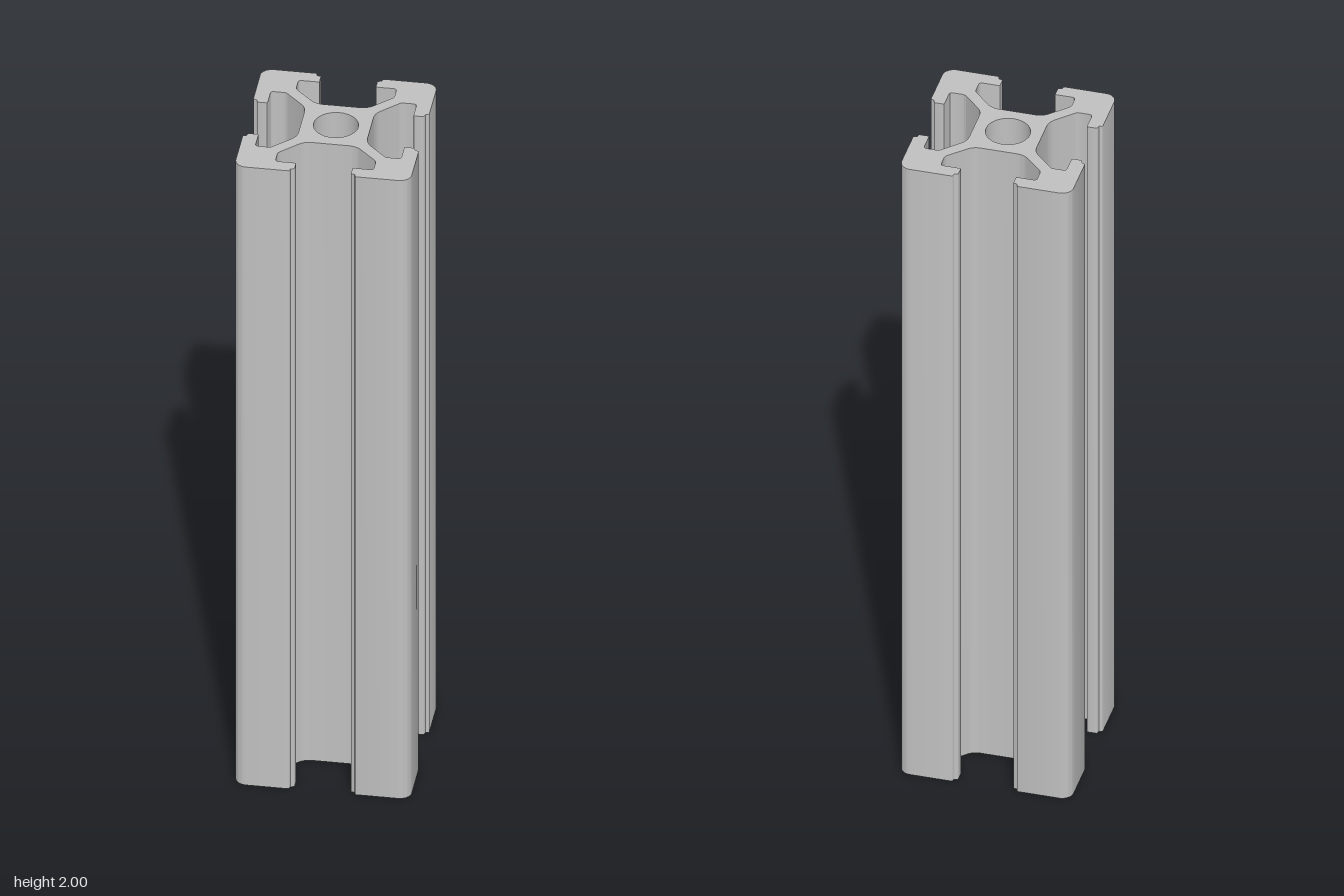
import * as THREE from 'three';
import { toCreasedNormals } from 'three/addons/utils/BufferGeometryUtils.js';

const HEIGHT = 2;
const BORE_RADIUS = 0.061;

// Half of one corner arm as [x, y, fillet radius], from the core out to the outer corner
const HALF_ARM = [
  [0.094, 0.071, 0.05],   // core to web
  [0.157, 0.134, 0.015],  // web to slot pocket
  [0.199, 0.134, 0.008],  // pocket corner
  [0.199, 0.077, 0.002],  // lip, inner edge
  [0.227, 0.077, 0.003],  // lip, outer edge
  [0.23, 0.088, 0.003],   // lip step
  [0.24, 0.09, 0.004],    // outer face
];
const OUTER_CORNER = [0.24, 0.24, 0.032];

// Closed shape through corner points, each rounded by its own radius
function roundedShape(corners) {
  const shape = new THREE.Shape();
  corners.forEach(([x, y, r], i) => {
    const n = corners.length;
    const p = new THREE.Vector2(x, y);
    const toPrev = new THREE.Vector2(...corners[(i + n - 1) % n].slice(0, 2)).sub(p).normalize();
    const toNext = new THREE.Vector2(...corners[(i + 1) % n].slice(0, 2)).sub(p).normalize();
    const turn = Math.PI - Math.acos(THREE.MathUtils.clamp(toPrev.dot(toNext), -1, 1));
    const t = r * Math.tan(turn / 2);
    const h = t - r * (4 / 3) * Math.tan(turn / 4);
    const at = (dir, d) => p.clone().addScaledVector(dir, d);
    const a = at(toPrev, t), b = at(toPrev, h), c = at(toNext, h), d = at(toNext, t);
    if (i === 0) shape.moveTo(a.x, a.y);
    else shape.lineTo(a.x, a.y);
    shape.bezierCurveTo(b.x, b.y, c.x, c.y, d.x, d.y);
  });
  shape.closePath();
  return shape;
}

export function createModel() {
  const aluminium = new THREE.MeshStandardMaterial({ color: 0xc0c0c0 });
  aluminium.name = 'aluminium';

  // Mirror the half arm over the diagonal, then repeat it in four quarter turns
  const arm = [...HALF_ARM, OUTER_CORNER, ...HALF_ARM.map(([x, y, r]) => [y, x, r]).reverse()];
  const corners = [];
  for (let q = 0; q < 4; q++) {
    const c = Math.round(Math.cos(q * Math.PI / 2));
    const s = Math.round(Math.sin(q * Math.PI / 2));
    for (const [x, y, r] of arm) corners.push([x * c - y * s, x * s + y * c, r]);
  }

  // Slotted section with the round centre bore
  const section = roundedShape(corners);
  const bore = new THREE.Path();
  bore.absarc(0, 0, BORE_RADIUS, 0, Math.PI * 2, true);
  section.holes.push(bore);

  // Extrude upwards, smooth on the fillets and sharp at the ends
  const extruded = new THREE.ExtrudeGeometry(section, {
    depth: HEIGHT, bevelEnabled: false, curveSegments: 16,
  });
  extruded.rotateX(-Math.PI / 2);
  const rail = new THREE.Mesh(toCreasedNormals(extruded, Math.PI / 6), aluminium);
  rail.name = 'slottedRail';

  const group = new THREE.Group();
  group.name = 'extrusionProfile';
  group.add(rail);
  return group;
}
